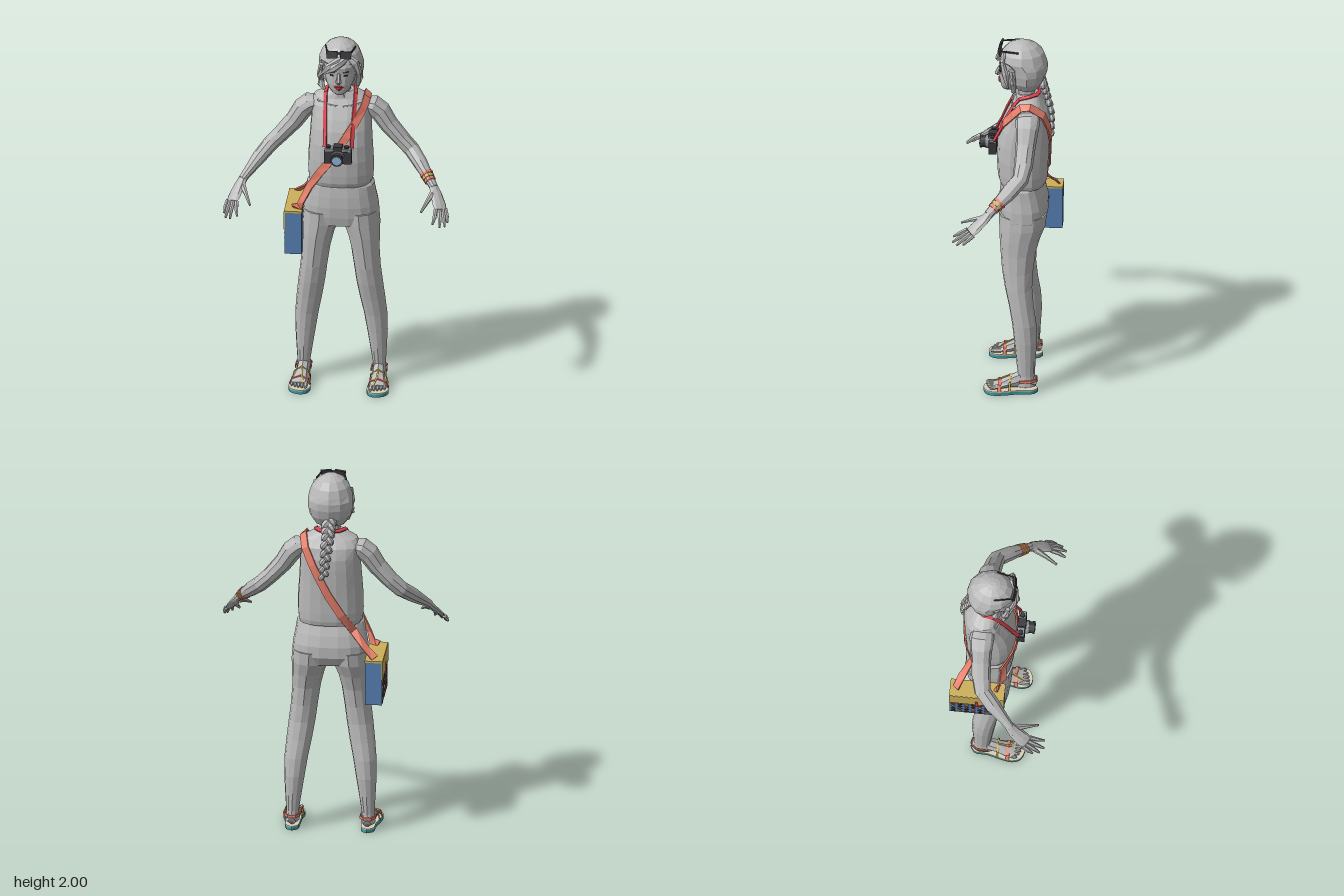
import * as THREE from 'three';

const mat = (name, color) => Object.assign(new THREE.MeshStandardMaterial({ color }), { name });
const V = (x, y, z) => new THREE.Vector3(x, y, z);

export function createModel() {
  const M = {
    grey: mat('grey', 0xbababa), salmon: mat('salmon', 0xe8806c), red: mat('red', 0xd8434c),
    black: mat('black', 0x3a3a3e), blue: mat('blue', 0x5580b4), yellow: mat('yellow', 0xccb05a),
    teal: mat('teal', 0x3c9aa2), cream: mat('cream', 0xd6d0b8), glass: mat('glass', 0x8fb0d4),
    silver: mat('silver', 0x8c8f94),
  };
  const root = new THREE.Group();
  root.name = 'traveller';

  const group = (name) => {
    const g = new THREE.Group();
    g.name = name;
    root.add(g);
    return g;
  };
  // Faceted mesh
  const add = (parent, name, geo, material, pos = [0, 0, 0], rot = [0, 0, 0]) => {
    const flat = geo.index ? geo.toNonIndexed() : geo;
    flat.computeVertexNormals();
    const mesh = new THREE.Mesh(flat, material);
    mesh.name = name;
    mesh.position.set(...pos);
    mesh.rotation.set(...rot);
    parent.add(mesh);
    return mesh;
  };
  const box = (p, name, m, size, pos, rot) => add(p, name, new THREE.BoxGeometry(...size), m, pos, rot);

  // Closed skin over a list of rings
  const loft = (rings) => {
    const n = rings[0].length, pos = [], idx = [];
    rings.forEach((r) => r.forEach((p) => pos.push(p.x, p.y, p.z)));
    for (let i = 0; i < rings.length - 1; i++)
      for (let j = 0; j < n; j++) {
        const a = i * n + j, b = i * n + ((j + 1) % n);
        idx.push(a, b, b + n, a, b + n, a + n);
      }
    [rings[0], rings.at(-1)].forEach((r, e) => {
      const c = r.reduce((s, p) => s.add(p), V(0, 0, 0)).divideScalar(n);
      const k = pos.length / 3, o = e ? (rings.length - 1) * n : 0;
      pos.push(c.x, c.y, c.z);
      for (let j = 0; j < n; j++) {
        const a = o + j, b = o + ((j + 1) % n);
        e ? idx.push(k, a, b) : idx.push(k, b, a);
      }
    });
    const g = new THREE.BufferGeometry();
    g.setAttribute('position', new THREE.Float32BufferAttribute(pos, 3));
    g.setIndex(idx);
    return g;
  };
  const ring = (c, u, v, ru, rv, segs, pw = 2) => Array.from({ length: segs }, (_, j) => {
    const a = ((j + (segs === 4 ? 0.5 : 0)) / segs) * Math.PI * 2, k = segs === 4 ? Math.SQRT2 : 1;
    const f = (t) => Math.sign(t) * Math.abs(t) ** (2 / pw) * k;
    return c.clone().addScaledVector(u, f(Math.cos(a)) * ru).addScaledVector(v, f(Math.sin(a)) * rv);
  });
  // Stack of horizontal sections, rows of [y, x0, x1, zFront, zBack], upwards
  const stack = (rows, segs, pw) => loft(rows.map(([y, x0, x1, zf, zb]) =>
    ring(V((x0 + x1) / 2, y, (zf + zb) / 2), V(1, 0, 0), V(0, 0, -1), (x1 - x0) / 2, (zf - zb) / 2, segs, pw)));
  const sym = (rows) => rows.map(([y, w, zf, zb]) => [y, -w, w, zf, zb]);
  // Limb along points [x, y, z, r1, r2]; hint is the direction of r1, fixed or by point
  const limb = (pts, hint = [0, 0, 1], segs = 8) => {
    const P = pts.map((p) => V(p[0], p[1], p[2]));
    return loft(P.map((p, i) => {
      const d = P[Math.min(i + 1, P.length - 1)].clone().sub(P[Math.max(i - 1, 0)]).normalize();
      const u = typeof hint === 'function' ? d.clone().cross(hint(p)) : V(...hint);
      u.addScaledVector(d, -u.dot(d)).normalize();
      return ring(p, u, d.clone().cross(u), pts[i][3], pts[i][4] ?? pts[i][3], segs);
    }));
  };
  const flip = (pts, s) => pts.map(([x, ...r]) => [x * s, ...r]);

  // Torso and hips, rows of [y, half width, zFront, zBack]
  const shirt = [[1.18, .166, .045, -.2], [1.205, .172, .055, -.207], [1.25, .175, .06, -.21], [1.33, .174, .064, -.213],
    [1.42, .168, .06, -.218], [1.5, .163, .042, -.222], [1.56, .16, .018, -.222], [1.62, .165, -.012, -.208],
    [1.66, .145, -.035, -.18], [1.7, .066, -.045, -.155]];
  const hips = [[.95, .19, .035, -.185], [1.0, .205, .045, -.21], [1.06, .2, .05, -.21], [1.12, .188, .048, -.195],
    [1.175, .18, .042, -.175], [1.19, .165, .035, -.17]];
  const surfaceZ = (x, y, side) => {
    const rows = y < 1.18 ? hips : shirt;
    const i = Math.max(0, Math.min(rows.findIndex((r) => r[0] >= y) - 1, rows.length - 2));
    const t = (y - rows[i][0]) / (rows[i + 1][0] - rows[i][0]);
    const [, w, f, b] = rows[i].map((v, k) => THREE.MathUtils.lerp(v, rows[i + 1][k], t));
    const q = Math.max(0, 1 - Math.abs(x / w) ** 2.5) ** .4;
    return (f + b) / 2 + side * (q * (f - b) / 2 + .006);
  };
  const body = group('body');
  add(body, 'shirt', stack(sym(shirt), 18, 2.5), M.grey);
  add(body, 'hips', stack(sym(hips), 18, 2.5), M.grey);
  add(body, 'neck', stack(sym([[1.65, .07, -.035, -.15], [1.7, .052, -.035, -.14], [1.78, .05, -.02, -.13]]), 10), M.grey);
  for (const s of [-1, 1]) add(body, 'collarbone', limb(flip([[.015, 1.63, -.018, .008], [.06, 1.637, -.022, .008],
    [.12, 1.648, -.045, .008]], s), [0, 1, 0], 6), M.grey);

  // Head with face
  const head = group('head');
  add(head, 'face', stack(sym([[1.715, .022, .03, -.03], [1.728, .042, .04, -.06], [1.75, .06, .046, -.09],
    [1.78, .074, .05, -.11], [1.81, .082, .05, -.13], [1.84, .086, .05, -.14], [1.88, .088, .055, -.14],
    [1.92, .08, .035, -.13]]), 16, 2.2), M.grey);
  add(head, 'nose', limb([[0, 1.85, .045, .008], [0, 1.82, .058, .011], [0, 1.805, .064, .016, .012], [0, 1.797, .055, .01]],
    [1, 0, 0], 6), M.grey);
  add(head, 'upperLip', limb([[-.027, 1.766, .04, .003], [-.01, 1.773, .051, .006], [.01, 1.773, .051, .006], [.027, 1.766, .04, .003]], [0, 1, 0], 6), M.red);
  add(head, 'lowerLip', limb([[-.025, 1.765, .04, .003], [0, 1.757, .05, .009, .006], [.025, 1.765, .04, .003]], [0, 1, 0], 6), M.red);
  for (const s of [-1, 1]) {
    box(head, 'eye', M.black, [.024, .008, .006], [s * .036, 1.836, .043], [0, s * .3, 0]);
    box(head, 'eyebrow', M.black, [.032, .004, .006], [s * .038, 1.857, .045], [0, s * .3, s * .12]);
  }

  // Hair: cap, strands round the face, braid
  const hair = group('hair');
  add(hair, 'hairCap', stack(sym([[1.735, .08, -.035, -.16], [1.78, .11, -.01, -.188], [1.83, .12, .0, -.204],
    [1.87, .12, .012, -.207], [1.9, .115, .05, -.2], [1.94, .1, .04, -.185], [1.975, .07, .008, -.15],
    [1.994, .036, -.03, -.11], [2, .012, -.05, -.09]]), 12), M.grey);
  [
    [[.05, 1.945, .025], [0, 1.925, .05], [-.055, 1.885, .052], [-.1, 1.825, .02]],
    [[.05, 1.945, .025], [.02, 1.92, .05], [-.03, 1.88, .062], [-.075, 1.848, .045]],
    [[.045, 1.945, .025], [.085, 1.91, .03], [.104, 1.85, .015], [.096, 1.765, 0]],
    [[-.095, 1.89, .02], [-.108, 1.82, .008], [-.1, 1.765, .0], [-.08, 1.738, .012]],
    [[.1, 1.87, -.02], [.108, 1.8, -.03], [.09, 1.735, -.03]],
    [[-.1, 1.87, -.04], [-.108, 1.8, -.05], [-.09, 1.735, -.05]],
  ].forEach((p) => add(hair, 'strand', limb(p.map((q, i) => [...q, [.014, .022, .02, .006][i + (p.length < 4)], .013]), [0, 1, 0], 6), M.grey));
  const braid = new THREE.CatmullRomCurve3([V(0, 1.77, -.175), V(.005, 1.69, -.2), V(.015, 1.58, -.227), V(.025, 1.47, -.23)]);
  for (let i = 0; i < 16; i++) {
    const t = i / 15, p = braid.getPoint(t), s = i % 2 ? 1 : -1, r = .034 - .014 * t;
    const knot = add(hair, 'braidKnot', new THREE.SphereGeometry(r, 7, 5), M.grey, [p.x + s * r * .45, p.y, p.z], [.15, 0, s * .6]);
    knot.scale.set(.7, 1.0, .7);
  }

  // Sunglasses on the hair
  const shades = group('sunglasses');
  for (const s of [-1, 1]) {
    box(shades, 'sunglassLens', M.black, [.058, .04, .012], [s * .037, 1.957, .045], [-.25, s * .15, -s * .05]);
    box(shades, 'sunglassArm', M.black, [.005, .008, .1], [s * .07, 1.965, -.005], [0, -s * .2, 0]);
  }
  box(shades, 'sunglassBridge', M.black, [.03, .008, .01], [0, 1.967, .047]);

  for (const s of [-1, 1]) {
    // Arms and hands
    const arm = group(s > 0 ? 'leftArm' : 'rightArm');
    add(arm, 'arm', limb(flip([[.13, 1.615, -.11, .058, .035], [.165, 1.605, -.11, .066, .052], [.205, 1.57, -.11, .06, .056],
      [.25, 1.5, -.105, .053, .05], [.32, 1.42, -.098, .05, .044], [.375, 1.365, -.085, .045, .042], [.43, 1.31, -.025, .043, .038],
      [.485, 1.25, .045, .028, .026], [.51, 1.222, .075, .025, .022]], s), [0, 0, 1], 10), M.grey);
    const across = [.78 * s, -.1, -.62];
    add(arm, 'palm', limb(flip([[.503, 1.23, .065, .024, .021], [.525, 1.195, .1, .034, .017], [.545, 1.155, .145, .04, .015],
      [.555, 1.135, .168, .036, .011]], s), across), M.grey);
    [[[.53, 1.14, .185], [.528, 1.115, .225], [.52, 1.09, .26]], [[.549, 1.135, .175], [.556, 1.105, .225], [.558, 1.075, .262]],
      [[.565, 1.133, .165], [.577, 1.1, .21], [.583, 1.07, .24]], [[.58, 1.13, .15], [.59, 1.105, .18], [.594, 1.08, .205]],
      [[.507, 1.2, .1], [.48, 1.172, .165], [.455, 1.14, .222]]].forEach((f, i) => add(arm, i < 4 ? 'finger' : 'thumb',
      limb(flip(f.map((p, k) => [...p, [.012, .011, .006][k] + (i === 4 && k < 1 ? .006 : 0)]), s), across, 6), M.grey));

    // Legs and feet
    const leg = group(s > 0 ? 'leftLeg' : 'rightLeg');
    const rows = [[.04, .165, .24, -.04, -.158], [.1, .167, .235, -.06, -.15], [.2, .152, .241, -.05, -.155],
      [.3, .136, .246, -.04, -.162], [.4, .12, .245, -.028, -.157], [.5, .1, .236, -.01, -.142], [.6, .083, .225, .012, -.133],
      [.7, .07, .213, .028, -.138], [.8, .055, .207, .036, -.15], [.88, .035, .208, .042, -.172], [.95, .008, .209, .045, -.2],
      [1.02, .004, .203, .046, -.208]];
    add(leg, 'trouserLeg', stack(rows.map(([y, a, b, f, k]) => [y, Math.min(a * s, b * s), Math.max(a * s, b * s), f, k]), 12), M.grey);
    add(leg, 'foot', limb(flip([[.2, .05, -.158, .02, .022], [.2, .065, -.125, .034, .042], [.2, .072, -.07, .034, .048],
      [.203, .058, -.02, .036, .034], [.208, .042, .04, .045, .02], [.21, .037, .07, .046, .013]], s), [1, 0, 0]), M.grey);
    for (let i = 0; i < 5; i++) {
      const x = .173 + i * .0185, z = .108 - .0015 * i * i, r = i ? .009 : .012;
      add(leg, 'toe', limb(flip([[x, .037, .055, r], [x, .037, z - .012, r], [x, .034, z, r * .6]], s), [1, 0, 0], 6), M.grey);
    }

    // Sandals
    const sandal = group(s > 0 ? 'leftSandal' : 'rightSandal');
    const outline = [[.2, .167], [.235, .14], [.24, .07], [.258, 0], [.266, -.06], [.25, -.102], [.205, -.122], [.165, -.108],
      [.15, -.06], [.16, 0], [.163, .07], [.168, .14], [.2, .167]];
    const slab = (depth) => {
      const shape = new THREE.Shape(new THREE.SplineCurve(outline.map(([x, y]) => new THREE.Vector2(x * s, y))).getPoints(30));
      return new THREE.ExtrudeGeometry(shape, { depth, bevelEnabled: false }).rotateX(-Math.PI / 2);
    };
    add(sandal, 'sole', slab(.017), M.teal);
    add(sandal, 'insole', slab(.006), M.cream, [0, .017, 0]);
    const band = (name, m, pts, hint) => add(sandal, name, limb(flip(pts, s), hint, 4), m);
    band('toeStrap', M.salmon, [[.153, .02, .035, .009, .003], [.165, .055, .035, .009, .003], [.207, .069, .03, .009, .003],
      [.25, .055, .035, .009, .003], [.264, .02, .035, .009, .003]], [0, 0, 1]);
    band('instepStrap', M.yellow, [[.158, .02, -.02, .005, .003], [.164, .07, -.02, .005, .003], [.203, .1, -.022, .005, .003],
      [.243, .07, -.02, .005, .003], [.256, .02, -.02, .005, .003]], [0, 0, 1]);
    band('heelStrap', M.salmon, [[.16, .072, -.07, .008, .003], [.162, .076, -.13, .008, .003], [.182, .077, -.16, .008, .003],
      [.22, .077, -.16, .008, .003], [.24, .076, -.13, .008, .003], [.243, .072, -.07, .008, .003]], [0, 1, 0]);
    band('thong', M.yellow, [[.204, .098, -.02, .004, .003], [.2, .072, .03, .004, .003], [.185, .045, .075, .004, .003]], [1, 0, 0]);
  }

  // Bracelets on the left wrist
  const bracelets = group('bracelets');
  [M.salmon, M.yellow, M.salmon].forEach((m, i) => {
    const at = (t, r) => [.46 + .055 * t, 1.277 - .06 * t, .012 + .075 * t, r, r * .95];
    add(bracelets, 'bracelet', limb([at(.05 + i * .18, .038 - i * .002), at(.18 + i * .18, .036 - i * .002)], [0, 0, 1], 10), m);
  });

  // Bag straps following the body
  const outward = (p) => V(p.x, (p.y - 1.35) * .5, p.z + .08);
  const onBody = (list, side) => list.map(([x, y]) => [x, y, surfaceZ(x, y, side)]);
  const bag = group('shoulderBag');
  const bagPath = [[-.25, 1.024, -.03], [-.215, 1.035, -.015], [-.2, 1.08, .005],
    ...onBody([[-.16, 1.165], [-.1, 1.27], [-.06, 1.325], [-.02, 1.38], [.04, 1.48], [.085, 1.55], [.125, 1.62]], 1),
    [.14, 1.668, -.07], [.142, 1.676, -.12], ...onBody([[.125, 1.62], [.085, 1.53], [.04, 1.44], [0, 1.36], [-.07, 1.245], [-.13, 1.15]], -1),
    [-.2, 1.07, -.215], [-.25, 1.026, -.24]];
  add(bag, 'bagStrap', limb(bagPath.map((p) => [...p, .021, .004]), outward, 4), M.salmon);

  // Bag with lid and patterned outer side
  box(bag, 'bagBody', M.blue, [.09, .24, .286], [-.246, .89, -.126]);
  box(bag, 'bagLid', M.yellow, [.096, .01, .292], [-.247, 1.014, -.126]);
  box(bag, 'bagFlap', M.yellow, [.006, .1, .292], [-.293, .965, -.126]);
  box(bag, 'bagClasp', M.red, [.005, .06, .016], [-.298, .93, -.126]);
  for (let i = 0; i < 8; i++)
    for (let j = 0; j < 4; j++)
      box(bag, 'bagPattern', [M.black, M.yellow, M.black, M.red][(i + 2 * j + (j >> 1)) % 4], [.004, .018, .018],
        [-.292, .79 + j * .034, -.25 + i * .0355], [Math.PI / 4, 0, 0]);

  // Camera on its neck strap
  const cam = group('camera');
  const half = [...onBody([[.072, 1.43], [.073, 1.5], [.076, 1.57], [.079, 1.64]], 1), [.08, 1.69, -.06], [.075, 1.702, -.11], [.05, 1.705, -.15]];
  half[0][2] = .075;
  const neckPath = [...flip(half, -1), [0, 1.705, -.165], ...half.slice().reverse()];
  add(cam, 'neckStrap', limb(neckPath.map((p) => [...p, .01, .004]), outward, 4), M.red);
  box(cam, 'cameraBody', M.black, [.146, .07, .042], [0, 1.383, .084]);
  box(cam, 'cameraTop', M.silver, [.14, .014, .038], [0, 1.425, .084]);
  box(cam, 'viewfinder', M.black, [.046, .03, .046], [0, 1.432, .086]);
  for (const x of [-.052, .045]) add(cam, 'dial', new THREE.CylinderGeometry(.013, .013, .012, 10), M.black, [x, 1.437, .084]);
  [[.036, .02, .113, M.silver], [.031, .022, .132, M.black], [.034, .012, .148, M.black], [.024, .004, .155, M.glass]]
    .forEach(([r, h, z, m]) => add(cam, 'lensRing', new THREE.CylinderGeometry(r, r, h, 14), m, [0, 1.388, z], [Math.PI / 2, 0, 0]));
  return root;
}
